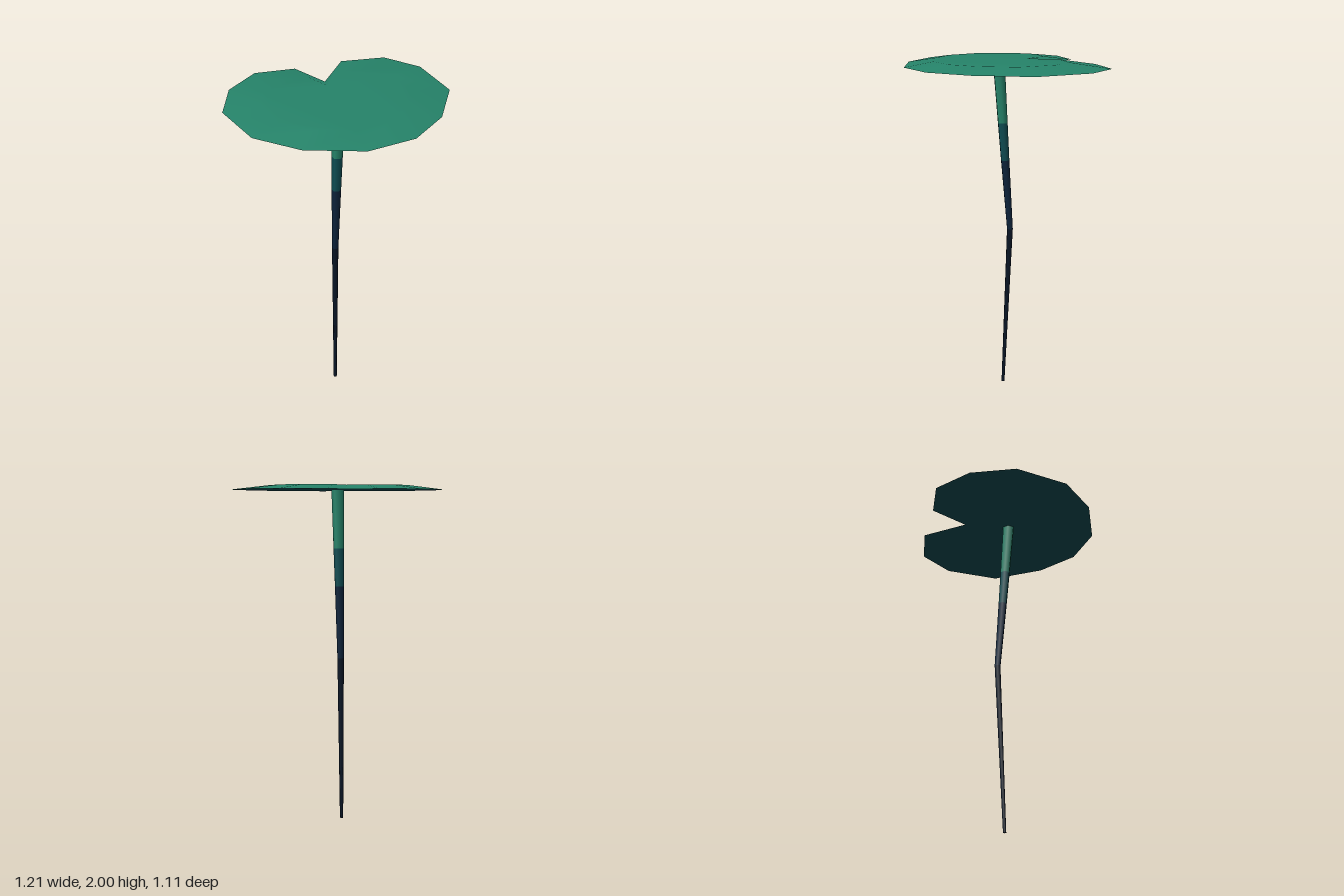
import * as THREE from 'three';

const material = (name, color) => {
  const m = new THREE.MeshStandardMaterial({ color });
  m.name = name;
  return m;
};

// Pad outline as [x, z], including the notch at the back
const OUTLINE = [
  [-0.235, -0.56], [-0.014, -0.492], [0.04, -0.253], [0.264, -0.44], [0.504, -0.353],
  [0.603, -0.133], [0.556, 0.2], [0.322, 0.436], [0.073, 0.554], [-0.199, 0.535],
  [-0.46, 0.357], [-0.607, 0.117], [-0.607, -0.21], [-0.455, -0.44],
];
const RIM_Y = 1.974, TOP_Y = 2;

// Raised plateau inside the rim, joined to it by a shallow slope
function padTopGeometry() {
  const n = OUTLINE.length, scale = 0.66, cx = -0.09, cz = 0.05;
  const inner = OUTLINE.map(([x, z]) => [cx + (x - cx) * scale, cz + (z - cz) * scale]);
  const positions = [
    ...OUTLINE.flatMap(([x, z]) => [x, RIM_Y, z]),
    ...inner.flatMap(([x, z]) => [x, TOP_Y, z]),
  ];
  const index = [];
  for (let i = 0; i < n; i++) {
    const j = (i + 1) % n;
    index.push(i, n + i, j, j, n + i, n + j);
  }
  const flat = inner.map(([x, z]) => new THREE.Vector2(x, -z)).reverse();
  for (const face of THREE.ShapeUtils.triangulateShape(flat, [])) {
    index.push(...face.map((k) => n + (n - 1 - k)));
  }
  const g = new THREE.BufferGeometry();
  g.setAttribute('position', new THREE.Float32BufferAttribute(positions, 3));
  g.setIndex(index);
  g.computeVertexNormals();
  return g;
}

// Flat underside facing down
function padUndersideGeometry() {
  const shape = new THREE.Shape(OUTLINE.map(([x, z]) => new THREE.Vector2(x, z)));
  return new THREE.ShapeGeometry(shape).rotateX(Math.PI / 2).translate(0, RIM_Y, 0);
}

// Six-sided tapered piece between two [x, y, z, radius] stations
function stemPiece(low, high, capped) {
  const g = new THREE.CylinderGeometry(high[3], low[3], 1, 6, 1, !capped);
  const p = g.attributes.position;
  for (let i = 0; i < p.count; i++) {
    const s = p.getY(i) > 0 ? high : low;
    p.setXYZ(i, p.getX(i) + s[0], s[1], p.getZ(i) + s[2]);
  }
  return g;
}

export function createModel() {
  const leafGreen = material('leafGreen', 0x26846a);
  const teal = material('teal', 0x0e4d53);
  const navy = material('navy', 0x0c233b);
  const deepNavy = material('deepNavy', 0x091626);

  const model = new THREE.Group();
  model.name = 'lilyPad';
  const add = (name, geometry, mat) => {
    const mesh = new THREE.Mesh(geometry, mat);
    mesh.name = name;
    model.add(mesh);
  };

  add('padTop', padTopGeometry(), leafGreen);
  add('padUnderside', padUndersideGeometry(), teal);

  // Bent stem, darkening toward the bottom
  const stations = [
    [-0.049, 0, -0.02, 0.01],
    [-0.023, 1, -0.053, 0.019],
    [-0.031, 1.42, -0.024, 0.027],
    [-0.034, 1.64, -0.009, 0.031],
    [-0.039, RIM_Y, 0.013, 0.037],
  ];
  const pieces = [
    ['stemBase', deepNavy], ['stemLower', navy], ['stemMiddle', teal], ['stemUpper', leafGreen],
  ];
  pieces.forEach(([name, mat], i) => {
    add(name, stemPiece(stations[i], stations[i + 1], i === 0), mat);
  });
  return model;
}
